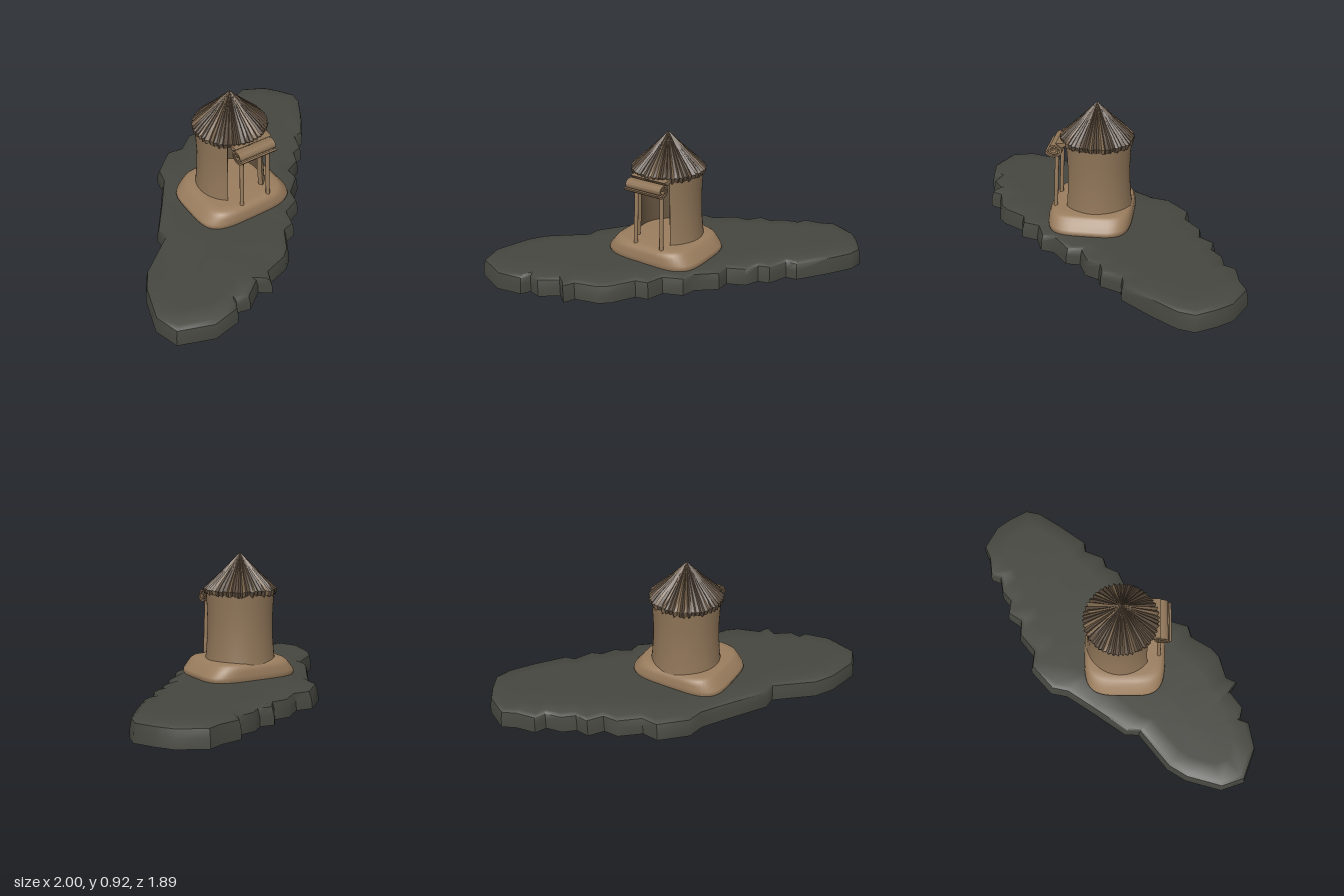
import * as THREE from 'three';
import { toCreasedNormals } from 'three/addons/utils/BufferGeometryUtils.js';

const material = (name, color, side = THREE.FrontSide) => {
  const m = new THREE.MeshStandardMaterial({ color, side });
  m.name = name;
  return m;
};

function seeded(seed) {
  return () => (seed = (seed * 16807) % 2147483647) / 2147483647;
}

// Skin between closed rings of [x, y, z] points, listed bottom to top.
// pick(column), if given, chooses a material index for each column.
function loft(rings, pick) {
  const n = rings[0].length, index = [];
  const g = new THREE.BufferGeometry();
  g.setAttribute('position', new THREE.Float32BufferAttribute(rings.flat(2), 3));
  const perColumn = (rings.length - 1) * 6;
  for (let j = 0; j < n; j++) {
    const k = (j + 1) % n;
    for (let i = 0; i < rings.length - 1; i++) {
      const a = i * n + j, b = i * n + k, c = b + n, d = a + n;
      index.push(a, b, c, a, c, d);
    }
    if (pick) g.addGroup(j * perColumn, perColumn, pick(j));
  }
  g.setIndex(index);
  g.computeVertexNormals();
  return g;
}

// Rocky shore outline, x and z
const SHORE = [
  [.70, -.95], [.86, -.87], [.93, -.78], [1, -.66], [.98, -.56], [.88, -.40], [.75, -.22], [.68, -.21],
  [.63, -.08], [.56, -.06], [.52, .03], [.41, .08], [.41, .17], [.29, .27], [.27, .36], [.15, .41],
  [.12, .52], [.04, .54], [-.04, .68], [-.10, .73], [-.25, .77], [-.28, .84], [-.35, .79], [-.46, .87],
  [-.54, .85], [-.57, .91], [-.74, .94], [-.95, .86], [-1, .71], [-.94, .48], [-.87, .36], [-.64, .17],
  [-.64, .08], [-.50, -.13], [-.38, -.32], [-.36, -.43], [-.21, -.57], [-.10, -.56], [.02, -.66], [.12, -.66],
  [.18, -.75], [.27, -.74], [.34, -.80], [.45, -.82], [.48, -.89], [.61, -.91],
].reverse();

// Rings shrink toward the island's long axis
function islandGeometry() {
  const axis = new THREE.Line3(new THREE.Vector3(-.62, 0, .57), new THREE.Vector3(.62, 0, -.57));
  const ring = (y, pull) => SHORE.map(([x, z]) => {
    const p = new THREE.Vector3(x, 0, z), q = new THREE.Vector3();
    axis.closestPointToPoint(p, true, q);
    p.lerp(q, pull);
    return [p.x, y, p.z];
  });
  const rings = [ring(0, 1), ring(0, 0), ring(.06, .01), ring(.105, .04), ring(.12, .11), ring(.122, .4), ring(.122, 1)];
  return toCreasedNormals(loft(rings), 0.75);
}

// Rounded-square plinth
function plinthGeometry() {
  const soft = (v) => Math.sign(v) * Math.abs(v) ** .5;
  const ring = (y, rx, rz) => Array.from({ length: 48 }, (_, i) => {
    const t = i / 48 * Math.PI * 2;
    return [-.065 + rx * soft(Math.cos(t)), y, .07 - rz * soft(Math.sin(t))];
  });
  return loft([ring(.11, .325, .265), ring(.135, .337, .273), ring(.155, .33, .273), ring(.19, .3, .27),
    ring(.215, .28, .262), ring(.228, .262, .245), ring(.235, .22, .21), ring(.237, 0, 0)]);
}

// Pleated thatch cone with a ragged eave
function roofGeometry() {
  const rand = seeded(77), n = 96;
  const jitter = Array.from({ length: n }, (_, i) => [(i % 2 ? 1 : -1) * (.4 + .6 * rand()), rand() - .5, rand() - .5]);
  const ring = (r, y, pleat, rag = 0) => jitter.map(([p, a, b], i) => {
    const t = (i + a * .6) / n * Math.PI * 2, rr = r + p * pleat;
    return [rr * Math.cos(t), y + b * rag, -rr * Math.sin(t)];
  });
  const rings = [ring(0, .675, 0), ring(.2, .665, 0), ring(.226, .655, .008, .02), ring(.234, .685, .009, .012),
    ring(.185, .735, .009), ring(.12, .795, .007), ring(.055, .862, .004), ring(0, .92, 0)];
  const g = loft(rings, () => (rand() < .25 ? 1 : 0)).toNonIndexed();
  g.computeVertexNormals();
  return g;
}

// Scroll cross-section: a thick spiral with a tail that reaches the eave
function awningGeometry(width) {
  const outer = [], inner = [], turns = 1.9, steps = 44;
  for (let i = 0; i <= steps; i++) {
    const s = i / steps, t = s * turns * Math.PI * 2 + .4, r = .014 + .04 * s;
    const at = (rad) => new THREE.Vector2(rad * 1.12 * Math.cos(t), rad * .92 * Math.sin(t));
    outer.push(at(r));
    inner.push(at(r - .012));
  }
  const scroll = new THREE.Shape([...outer, ...inner.reverse()]);
  const tail = new THREE.Shape([[-.01, .05], [-.05, .02], [-.085, .04], [-.08, .058], [-.04, .052]]
    .map(([x, y]) => new THREE.Vector2(x, y)));
  const g = new THREE.ExtrudeGeometry([scroll, tail], { depth: width, bevelEnabled: false });
  g.translate(0, 0, -width / 2).rotateY(-Math.PI / 2);
  return toCreasedNormals(g, 0.7);
}

export function createModel() {
  const model = new THREE.Group();
  const rock = material('dark rock', 0x464740);
  const clay = material('tan clay', 0x9a7d5e);
  const clayWall = material('wall clay', 0x8f7558, THREE.DoubleSide);
  const inside = material('shaded interior', 0x6a5843, THREE.DoubleSide);
  const thatch = material('dark thatch', 0x58493a);
  const straw = material('light thatch', 0x7d674e);

  const add = (parent, name, geometry, mat) => {
    const mesh = new THREE.Mesh(geometry, mat);
    mesh.name = name;
    parent.add(mesh);
    return mesh;
  };

  add(model, 'island', islandGeometry(), rock);
  add(model, 'plinth', plinthGeometry(), clay);

  // Round hut, open at the front
  const hut = new THREE.Group();
  hut.name = 'hut';
  hut.position.set(-.06, 0, .04);
  model.add(hut);

  const half = .64;
  const outer = [[.23, .215], [.224, .26], [.215, .37], [.213, .48], [.217, .58], [.223, .675]]
    .map(([r, y]) => new THREE.Vector2(r, y));
  const inner = outer.map((p) => new THREE.Vector2(p.x - .03, p.y));
  const sweep = Math.PI * 2 - 2 * half;
  add(hut, 'outerWall', new THREE.LatheGeometry(outer, 40, half, sweep), clayWall);
  add(hut, 'innerWall', new THREE.LatheGeometry(inner, 40, half, sweep), inside);
  for (const side of [-1, 1]) {
    // Door jamb closes the wall's thickness
    const jamb = add(hut, 'doorJamb', new THREE.ShapeGeometry(new THREE.Shape([...outer, ...[...inner].reverse()])), clayWall);
    jamb.rotation.y = -Math.PI / 2 + side * half;
  }

  add(hut, 'roof', roofGeometry(), [thatch, straw]);

  // Rolled awning on two posts
  const awning = add(model, 'rolledAwning', awningGeometry(.26), clayWall);
  awning.position.set(-.048, .625, .297);
  for (const side of [-1, 1]) {
    const path = new THREE.LineCurve3(new THREE.Vector3(-.038 + side * .1, .215, .298),
      new THREE.Vector3(-.038 + side * .095, .6, .282));
    add(model, 'awningPost', new THREE.TubeGeometry(path, 1, .013, 10), clay);
  }
  return model;
}
